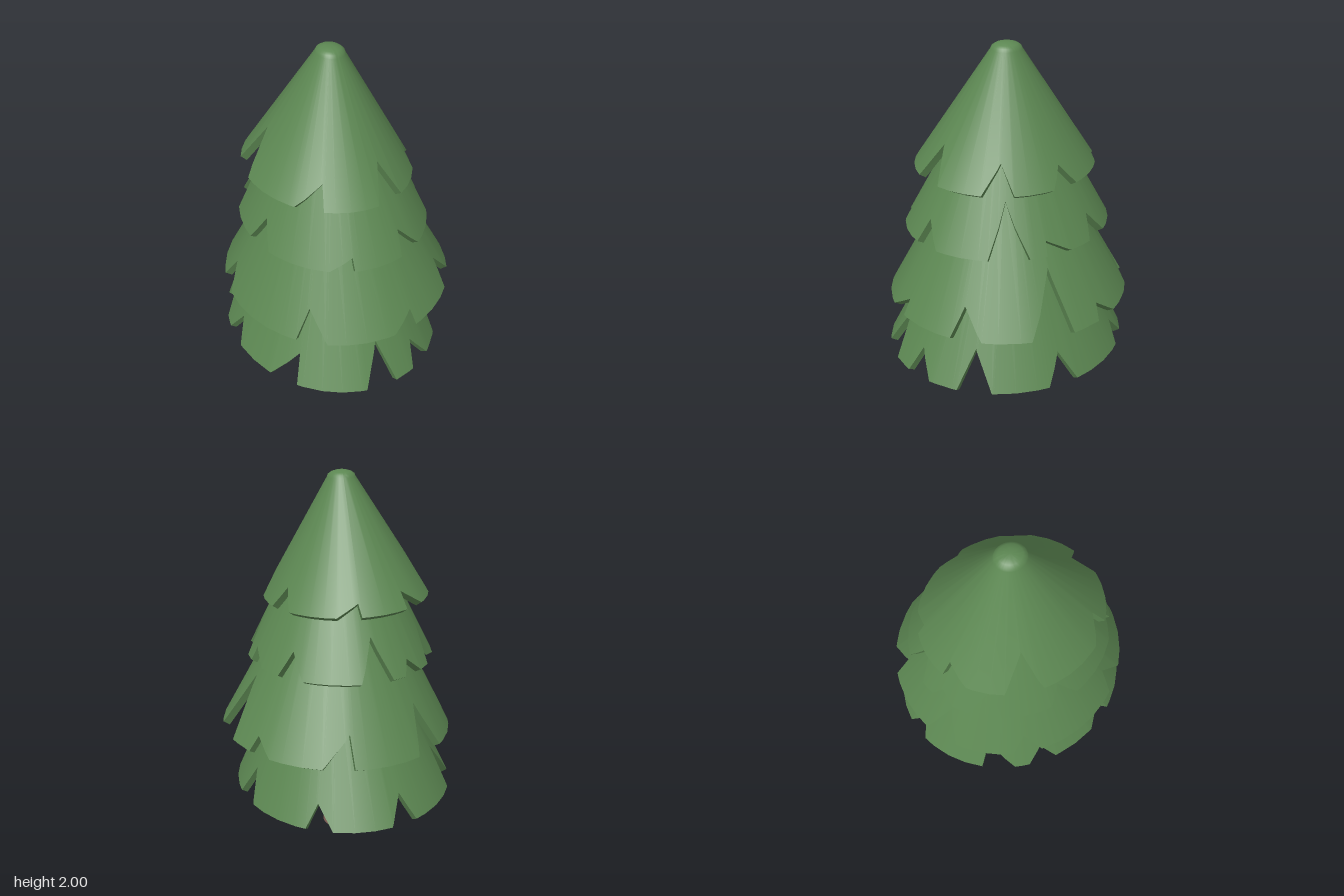
import * as THREE from 'three';
import { toCreasedNormals } from 'three/addons/utils/BufferGeometryUtils.js';

const THICK = 0.04;
const SEAM = -62; // angle where every shell starts and closes, clear of all notches

// Each tier: rim centre (x, y), rim radius r, cone slope, x squash, tilt, and
// notches as [peak angle in degrees from the front towards +x, depth, lean 0..1].
const TIERS = [
  { name: 'topBranches', x: -0.045, y: 1.37, r: 0.475, slope: 0.655, squash: 0.9, tilt: -0.04,
    notches: [[-31, 0.11, 0.9], [17, 0.17, 0.46], [70, 0.14, 0.55], [113, 0.1, 0.5],
      [171, 0.06, 0.9], [207, 0.08, 0.05], [259, 0.22, 0.5]] },
  { name: 'upperBranches', x: -0.012, y: 1.055, r: 0.545, slope: 0.56, squash: 0.895, tilt: -0.005,
    notches: [[-16, 0.06, 0.95], [19, 0.12, 0.2], [72, 0.26, 0.4], [95.6, 0.07, 0.05],
      [131, 0.12, 0.4], [185, 0.2, 0.5], [209, 0.07, 0.35], [239, 0.18, 0.55], [283, 0.13, 0.45]] },
  { name: 'middleBranches', x: 0.008, y: 0.655, r: 0.65, slope: 0.56, squash: 0.945, tilt: 0.015,
    notches: [[-41, 0.155, 0.33], [14.5, 0.08, 0.95], [50, 0.15, 0.3], [97, 0.31, 0.68], [121, 0.08, 0.2],
      [170.5, 0.15, 0.88], [215, 0.23, 0.5], [259, 0.13, 0.4]] },
  { name: 'lowerBranches', x: -0.03, y: 0.315, r: 0.665, slope: 0.52, squash: 0.88, tilt: -0.025,
    notches: [[-46, 0.16, 0.95], [0, 0.23, 0.52], [25, 0.14, 0.3], [57, 0.21, 0.4], [101.5, 0.16, 0.5],
      [149, 0.12, 0.4], [195, 0.14, 0.55], [239, 0.22, 0.1], [269, 0.13, 0.5]] },
];

// Deeper notches are wider; lean sets where the peak sits between the two ends
function notchSpan([peak, depth, lean], r) {
  const width = (6.5 + 22 * depth) / r;
  const start = peak - width * lean;
  return { start, peak, end: start + width, depth };
}

// How far the rim is cut back at an angle
function cutAt(deg, spans) {
  const s = spans.find(({ start, end }) => deg > start && deg < end);
  if (!s) return 0;
  const ramp = deg <= s.peak ? (deg - s.start) / (s.peak - s.start) : (s.end - deg) / (s.end - s.peak);
  return s.depth * ramp;
}

// Top of a tier: a rounded tip, or a flat end hidden inside the tier above
function topProfile(r, slope, rounded) {
  if (!rounded) {
    const y = (0.6 * r) / slope;
    return [[0, y], [r * 0.4, y]];
  }
  const points = [];
  for (let i = 0; i <= 4; i++) {
    const a = (i / 4) * Math.PI / 2;
    points.push([0.08 * Math.sin(a), 0.595 + 0.035 * Math.cos(a)]);
  }
  return points;
}

// Thick conical shell with a notched rim
function shellGeometry({ r, slope, squash, notches }, rounded) {
  const half = Math.atan(slope);
  const inX = THICK * Math.cos(half), inY = THICK * Math.sin(half);
  const top = topProfile(r, slope, rounded);
  const [topR, topY] = top[top.length - 1];

  const spans = notches.map((n) => notchSpan(n, r));
  const angles = new Set();
  for (let d = 0; d <= 360; d += 10) angles.add(SEAM + d);
  for (const { start, peak, end } of spans) angles.add(start).add(peak).add(end);

  // One cross-section per angle: top, outer rim, inner rim, inner top
  const columns = [...angles].sort((a, b) => a - b).map((deg) => {
    const cut = cutAt(deg, spans);
    const rim = r - cut * slope;
    const profile = [...top, [rim, cut], [rim - inX, cut - inY], [topR - inX, topY - inY], [0, topY - inY]];
    const t = THREE.MathUtils.degToRad(deg);
    return profile.map(([pr, py]) => [pr * Math.sin(t) * squash, py, pr * Math.cos(t)]);
  });

  const pos = [];
  const rows = columns[0].length;
  for (let i = 0; i < columns.length - 1; i++) {
    for (let j = 0; j < rows - 1; j++) {
      const a = columns[i][j], b = columns[i][j + 1];
      const c = columns[i + 1][j + 1], d = columns[i + 1][j];
      if (j < rows - 2) pos.push(...a, ...b, ...c);
      if (j > 0) pos.push(...a, ...c, ...d);
    }
  }
  const geo = new THREE.BufferGeometry();
  geo.setAttribute('position', new THREE.Float32BufferAttribute(pos, 3));
  return toCreasedNormals(geo, 0.6);
}

export function createModel() {
  const group = new THREE.Group();
  group.name = 'pineTree';
  const needles = new THREE.MeshStandardMaterial({ color: 0x5c8752 });
  needles.name = 'needleGreen';
  const bark = new THREE.MeshStandardMaterial({ color: 0x8f685f });
  bark.name = 'barkBrown';

  // Trunk
  const trunk = new THREE.Mesh(new THREE.CylinderGeometry(0.098, 0.098, 0.95, 32), bark);
  trunk.name = 'trunk';
  trunk.position.set(-0.022, 0.475, 0.005);
  group.add(trunk);

  // Four overlapping branch tiers, the top one with a rounded tip
  TIERS.forEach((tier, i) => {
    const branches = new THREE.Mesh(shellGeometry(tier, i === 0), needles);
    branches.name = tier.name;
    branches.position.set(tier.x, tier.y, 0);
    branches.rotation.z = tier.tilt;
    group.add(branches);
  });
  return group;
}
